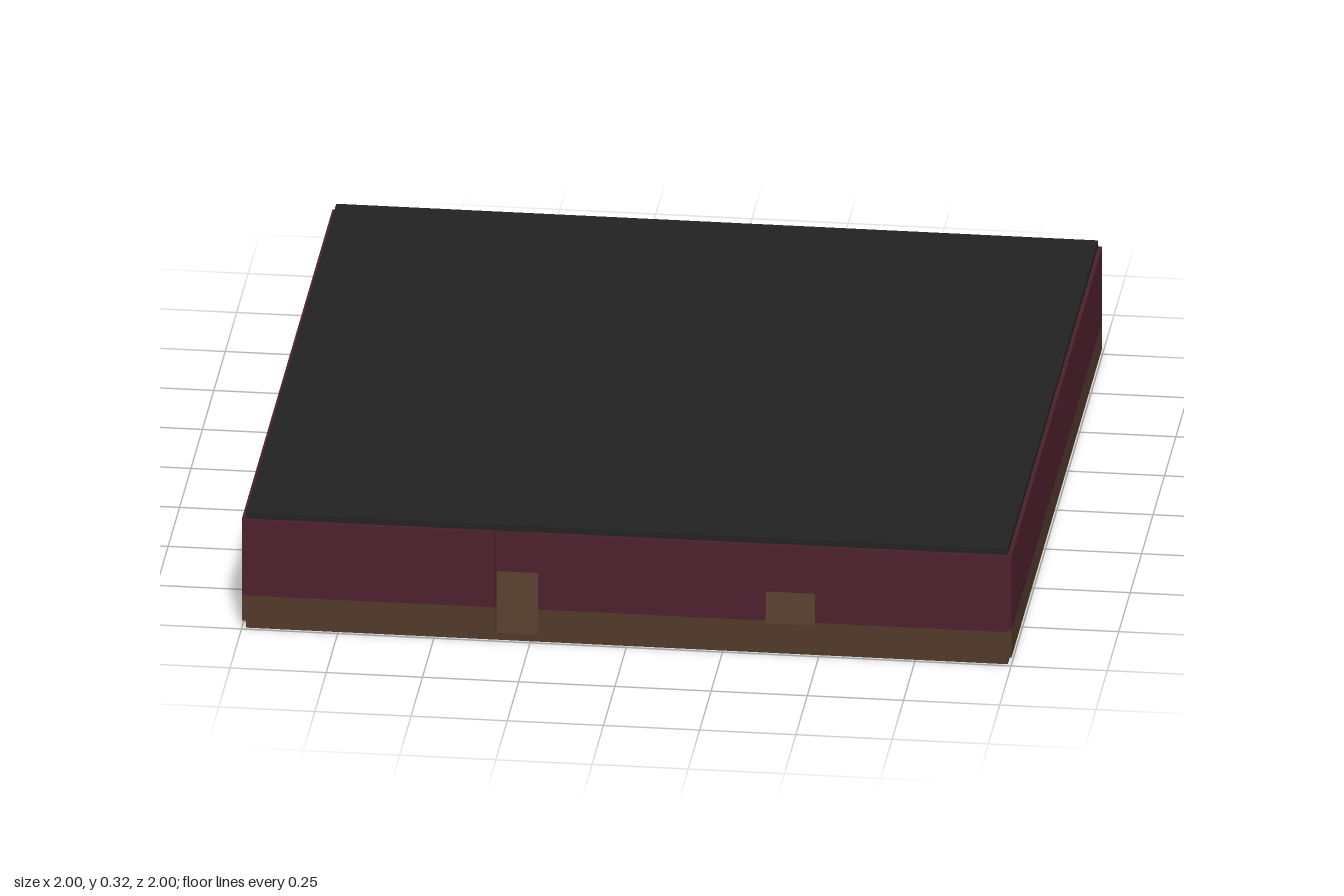
import * as THREE from 'three';

const mat = (name, color) => {
  const m = new THREE.MeshStandardMaterial({ color });
  m.name = name;
  return m;
};

export function createModel() {
  const model = new THREE.Group();
  model.name = 'building';
  const maroon = mat('maroon paint', 0x4c202c);
  const brown = mat('brown wood', 0x51392a);
  const black = mat('roof black', 0x222222);
  const grey = mat('grey trim', 0x777777);

  // Box given by its extents on each axis
  const box = (name, material, [x0, x1], [y0, y1], [z0, z1], parent = model) => {
    const mesh = new THREE.Mesh(new THREE.BoxGeometry(x1 - x0, y1 - y0, z1 - z0), material);
    mesh.position.set((x0 + x1) / 2, (y0 + y1) / 2, (z0 + z1) / 2);
    mesh.name = name;
    parent.add(mesh);
  };

  const BASE = 0.02, BAND = 0.095, TOP = 0.308;
  const DOOR = [-0.34, -0.23], DOOR_TOP = 0.195;
  const WIN = [0.36, 0.49], SILL = 0.088, WIN_TOP = 0.177;

  // Wall piece: brown wainscot below the band, maroon above
  const wall = (name, x, [y0, y1], z, parent) => {
    if (y0 < BAND) box(name + 'Wainscot', brown, x, [y0, Math.min(y1, BAND)], z, parent);
    if (y1 > BAND) box(name + 'Upper', maroon, x, [Math.max(y0, BAND), y1], z, parent);
  };

  // Floor and flat roof
  box('floor', brown, [-0.99, 0.99], [0, BASE], [-0.99, 0.99]);
  box('roof', black, [-0.99, 0.99], [TOP, 0.325], [-0.99, 0.99]);

  // Front and back walls share the same door and window layout
  for (const s of [1, -1]) {
    const g = new THREE.Group();
    g.name = s > 0 ? 'frontWall' : 'backWall';
    const z = s > 0 ? [0.98, 1] : [-1, -0.98];
    const inset = s > 0 ? [0.98, 0.993] : [-0.993, -0.98];
    wall('outer', [-0.99, DOOR[0]], [BASE, TOP], z, g);
    wall('doorLintel', DOOR, [DOOR_TOP, TOP], inset, g);
    wall('middle', [DOOR[1], WIN[0]], [BASE, TOP], z, g);
    wall('windowSill', WIN, [BASE, SILL], z, g);
    wall('windowLintel', WIN, [WIN_TOP, TOP], z, g);
    wall('end', [WIN[1], 0.99], [BASE, TOP], z, g);
    model.add(g);
    // Side wall
    wall(s > 0 ? 'leftWall' : 'rightWall', s > 0 ? [0.98, 1] : [-1, -0.98], [BASE, TOP], [-0.99, 0.99]);
  }

  // Inner partition with a passage in line with the doors
  const pz = [-0.01, 0.01];
  wall('partitionRight', [-0.98, -0.285], [BASE, TOP], pz);
  wall('partitionMiddle', [-0.2, 0.4], [BASE, TOP], pz);
  wall('partitionLeft', [0.445, 0.98], [BASE, TOP], pz);
  wall('passageLintel', [-0.285, -0.2], [0.22, TOP], pz);

  // Inner door with wooden head and grey edges
  box('innerDoor', black, [0.4, 0.445], [BASE, 0.155], [-0.008, 0.008]);
  box('innerDoorHead', brown, [0.4, 0.445], [0.155, 0.178], pz);
  wall('innerDoorLintel', [0.4, 0.445], [0.178, TOP], pz);
  for (const x of [0.401, 0.44]) box('innerDoorEdge', grey, [x, x + 0.004], [BASE, 0.155], [-0.011, 0.011]);

  // Knob at the passage edge
  const knob = new THREE.Mesh(new THREE.SphereGeometry(0.016, 12, 8), black);
  knob.name = 'knob';
  knob.position.set(-0.281, 0.095, 0.015);
  model.add(knob);

  return model;
}
